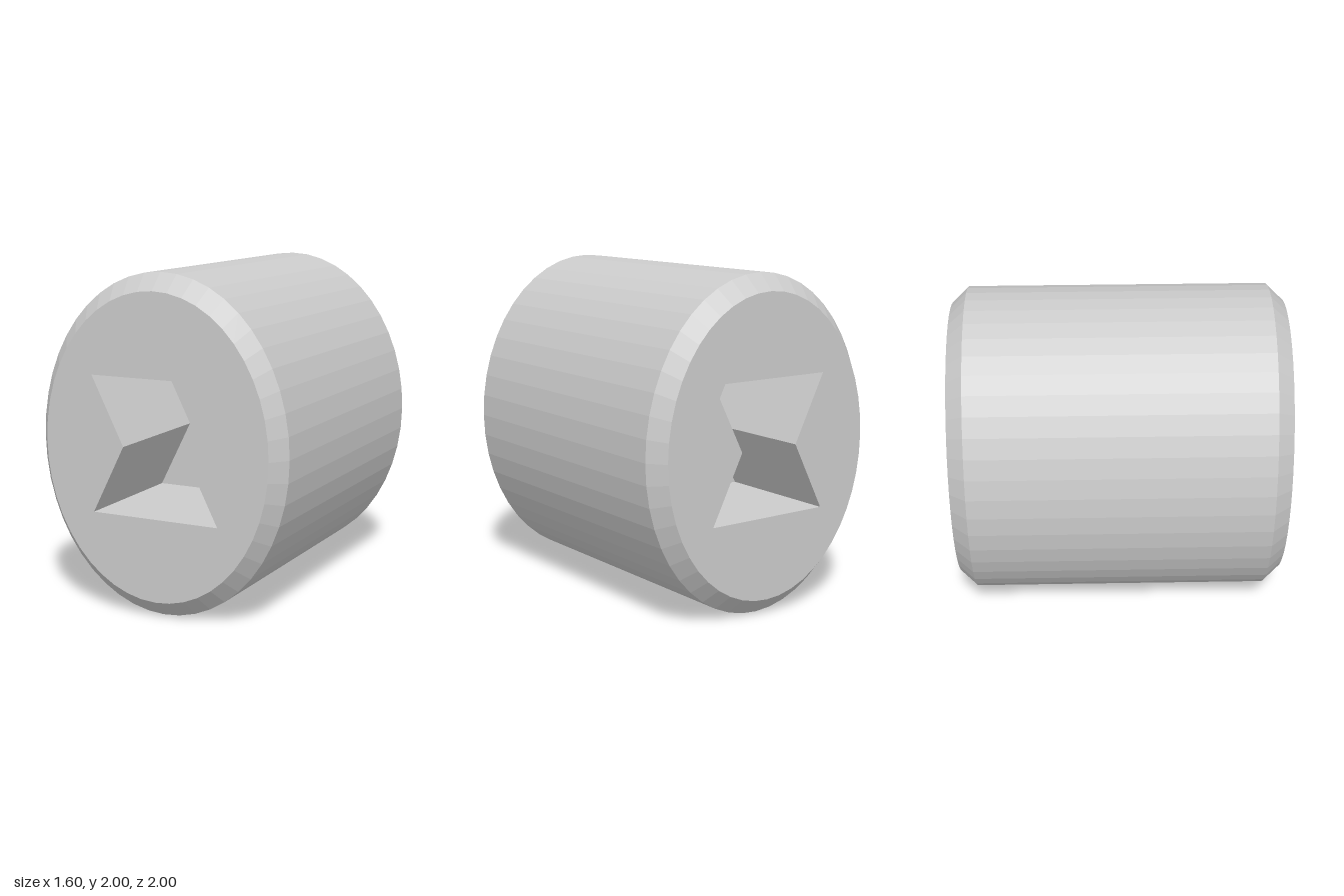
import * as THREE from 'three';

const SEGMENTS = 48;
const RX = 0.8, RY = 1;      // radii of the oval section
const CAP = 0.9;             // end face size relative to the section
const RECESS_FLOOR = 0.2;    // z of the recess floor; the end face is at z = 1

const material = new THREE.MeshStandardMaterial({ color: 0xcccccc, flatShading: true });

function part(name, geometry) {
  const mesh = new THREE.Mesh(geometry, material);
  mesh.name = name;
  return mesh;
}

// Hourglass outline, counter-clockwise
const hourglass = [[-0.405, -0.405], [0.405, -0.405], [0.2, 0], [0.405, 0.405], [-0.405, 0.405], [-0.2, 0]]
  .map(([x, y]) => new THREE.Vector2(x, y));

// Inward-facing walls of the recess
function recessWalls() {
  const positions = [];
  hourglass.forEach((a, i) => {
    const b = hourglass[(i + 1) % hourglass.length];
    positions.push(
      a.x, a.y, 1, b.x, b.y, 1, b.x, b.y, RECESS_FLOOR,
      a.x, a.y, 1, b.x, b.y, RECESS_FLOOR, a.x, a.y, RECESS_FLOOR);
  });
  const geometry = new THREE.BufferGeometry();
  geometry.setAttribute('position', new THREE.Float32BufferAttribute(positions, 3));
  geometry.computeVertexNormals();
  return geometry;
}

// Flat oval end with an hourglass recess
function createEnd(name) {
  const outline = [];
  for (let i = 0; i < SEGMENTS; i++) {
    const t = (i / SEGMENTS) * Math.PI * 2;
    outline.push(new THREE.Vector2(Math.cos(t) * RX * CAP, Math.sin(t) * RY * CAP));
  }
  const face = new THREE.Shape(outline);
  face.holes.push(new THREE.Path(hourglass));

  const end = new THREE.Group();
  end.name = name;
  end.add(
    part('endFace', new THREE.ShapeGeometry(face).translate(0, 0, 1)),
    part('recessWalls', recessWalls()),
    part('recessFloor', new THREE.ShapeGeometry(new THREE.Shape(hourglass)).translate(0, 0, RECESS_FLOOR)));
  return end;
}

export function createModel() {
  const model = new THREE.Group();
  model.name = 'ovalBarrel';

  // Oval barrel with chamfered rims
  const profile = [[CAP, -1], [1, -0.9], [1, 0.9], [CAP, 1]].map(([r, h]) => new THREE.Vector2(r, h));
  const barrel = new THREE.LatheGeometry(profile, SEGMENTS).rotateX(Math.PI / 2).scale(RX, RY, 1);
  model.add(part('barrel', barrel));

  // Matching ends
  const back = createEnd('backEnd');
  back.rotation.y = Math.PI;
  model.add(createEnd('frontEnd'), back);

  model.children.forEach((child) => { child.position.y = RY; });
  return model;
}
